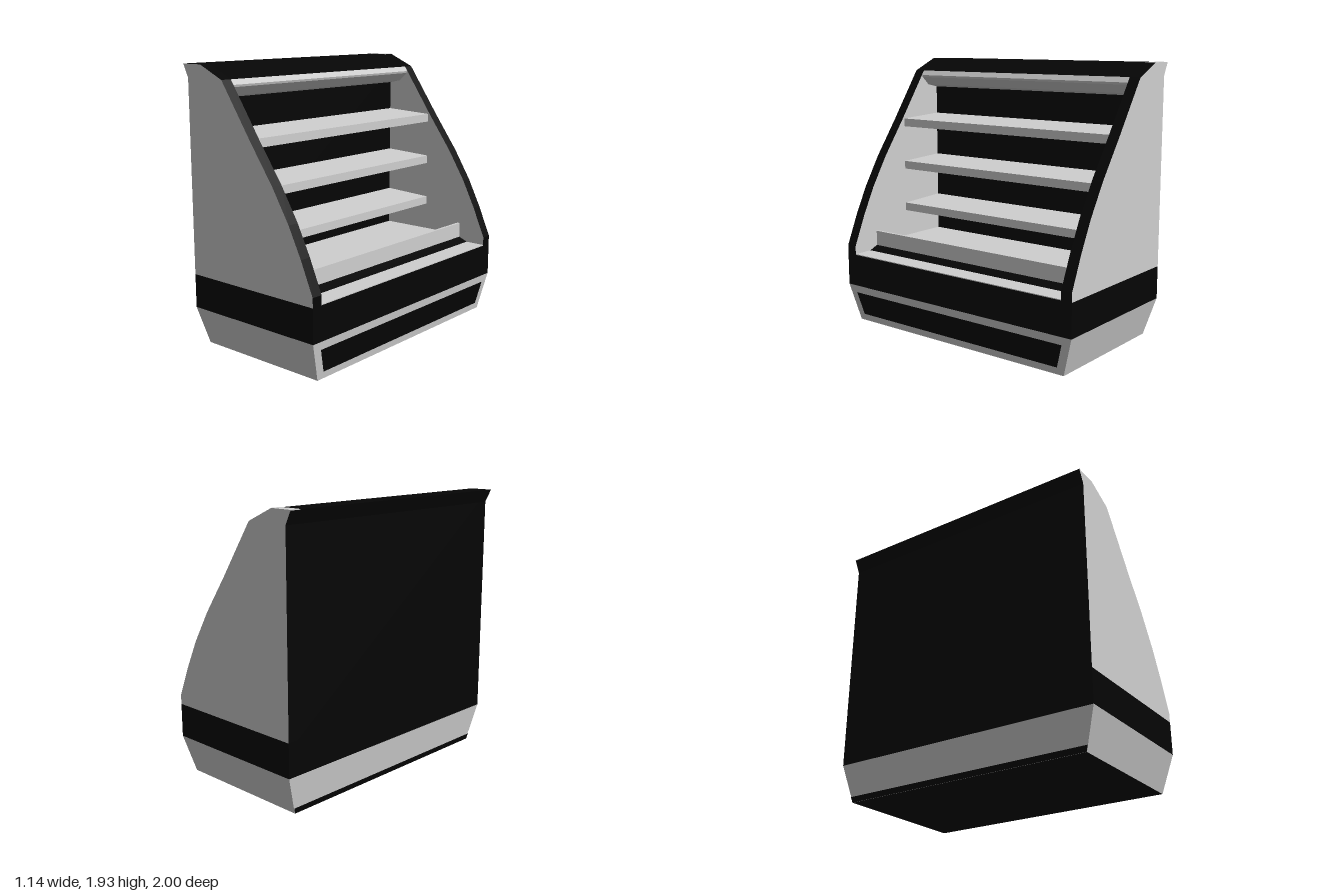
import * as THREE from 'three';

export function createModel() {
  const model = new THREE.Group();
  const mat = (name, color) => {
    const m = new THREE.MeshStandardMaterial({ color });
    m.name = name;
    return m;
  };
  const white = mat('white enamel', 0xcfcfcf);
  const black = mat('black trim', 0x050505);
  const inner = 0.92; // half length between the end panels
  const back = -0.525, front = 0.57, wall = -0.345;

  const add = (name, geometry, material) => {
    const mesh = new THREE.Mesh(geometry, material);
    mesh.name = name;
    model.add(mesh);
  };
  // Extrude an x-y profile between two z positions
  const slab = (name, points, z0, z1, material) => {
    const shape = new THREE.Shape(points.map(([x, y]) => new THREE.Vector2(x, y)));
    const g = new THREE.ExtrudeGeometry(shape, { depth: z1 - z0, bevelEnabled: false });
    add(name, g.translate(0, 0, z0), material);
  };
  const box = (name, x0, x1, y0, y1, halfZ, material) => {
    const g = new THREE.BoxGeometry(x1 - x0, y1 - y0, halfZ * 2);
    add(name, g.translate((x0 + x1) / 2, (y0 + y1) / 2, 0), material);
  };

  // Tapered base with a black underside
  const base = new THREE.BoxGeometry(front - back, 0.27, 2).translate((front + back) / 2, 0.135, 0);
  const p = base.attributes.position;
  for (let i = 0; i < p.count; i++) {
    if (p.getY(i) < 0.1) {
      p.setX(i, p.getX(i) > 0 ? 0.53 : -0.485);
      p.setZ(i, Math.sign(p.getZ(i)) * inner);
    }
  }
  base.computeVertexNormals();
  add('base', base, [white, white, white, black, white, white]);

  // Thin black plates lying on the sloping long faces of the base
  const plate = (name, side, y0, y1, inset) => {
    const corner = (y, s) => {
      const t = y / 0.27;
      const x = side * (side > 0 ? 0.533 : 0.488) + side * 0.04 * t;
      return [x, y, s * (inner + 0.08 * t - inset)];
    };
    const g = new THREE.BufferGeometry();
    const pts = [corner(y0, side), corner(y0, -side), corner(y1, -side), corner(y1, side)];
    g.setAttribute('position', new THREE.Float32BufferAttribute(pts.flat(), 3));
    g.setIndex([0, 1, 2, 0, 2, 3]);
    g.computeVertexNormals();
    add(name, g, black);
  };
  plate('kickPanel', 1, 0.05, 0.215, 0.06);
  plate('rearKickStrip', -1, 0, 0.04, 0);

  // Black band round the lower body
  box('lowerBand', back, front, 0.27, 0.505, 1, black);

  // White end panels with black edges
  const endProfile = [
    [back, 0.505], [front, 0.505], [front, 0.57], [0.475, 0.79], [0.375, 0.99],
    [0.24, 1.21], [0.05, 1.475], [-0.2, 1.84], [-0.4, 1.93], [-0.57, 1.93], [back, 1.84],
  ];
  slab('leftEndPanel', endProfile, inner, 1, [white, black]);
  slab('rightEndPanel', endProfile, -1, -inner, [white, black]);
  add('hoodEndCap', new THREE.BoxGeometry(0.17, 0.004, 0.08).translate(-0.485, 1.93, -0.96), white);

  // Back wall and hood, with the white lip under the hood
  slab('backAndHood', [
    [back, 0.505], [wall, 0.505], [wall, 1.84], [-0.2, 1.84],
    [-0.4, 1.93], [-0.57, 1.93], [back, 1.84],
  ], -inner, inner, black);
  slab('hoodLip', [
    [wall, 1.71], [-0.25, 1.73], [-0.185, 1.79], [-0.18, 1.805], [-0.2, 1.84], [wall, 1.84],
  ], -inner, inner, white);

  // Three slightly tilted shelves
  for (let i = 0; i < 3; i++) {
    const y = 0.76 + i * 0.33;
    slab('shelf', [
      [wall, y + 0.02], [0.03, y], [0.03, y + 0.06], [wall, y + 0.08],
    ], -inner, inner, white);
  }

  // White panel low on the back wall, under the bottom shelf
  box('lowerBackPanel', wall, wall + 0.02, 0.67, 0.78, inner, white);

  // Well floor, upright rail, sloping black air grille and flat front ledge
  box('wellFloor', wall, 0.335, 0.505, 0.56, inner, white);
  box('frontRail', 0.33, 0.352, 0.505, 0.65, inner, white);
  slab('airGrille', [[0.352, 0.505], [0.42, 0.505], [0.42, 0.512], [0.352, 0.54]], -inner, inner, black);
  box('frontLedge', 0.42, front, 0.505, 0.511, inner, white);

  return model;
}
